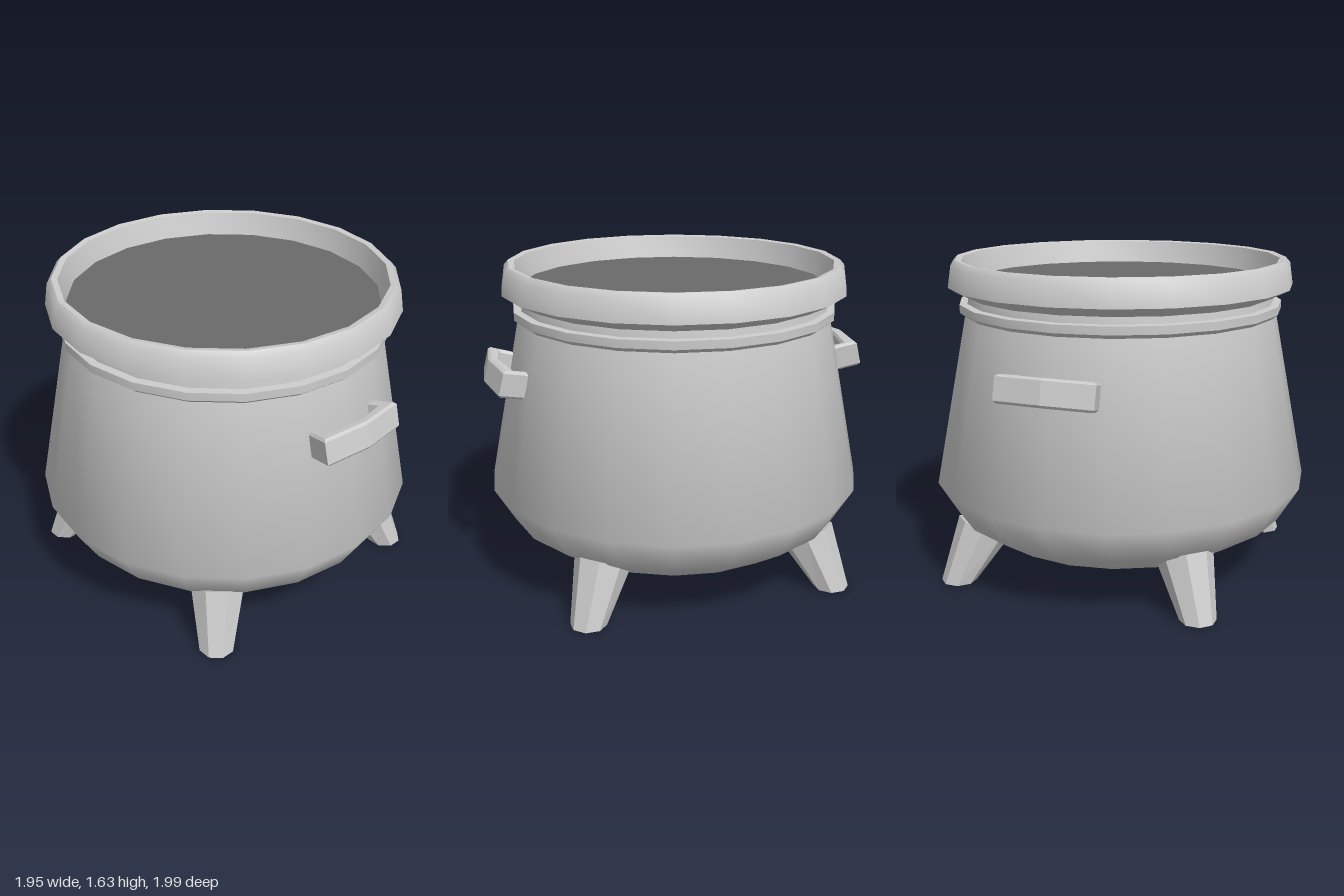
import * as THREE from 'three';
import { toCreasedNormals } from 'three/addons/utils/BufferGeometryUtils.js';

const SIDES = 20;
const grey = new THREE.MeshStandardMaterial({ color: 0xcccccc });
const faceted = new THREE.MeshStandardMaterial({ color: 0xcccccc, flatShading: true });
const dark = new THREE.MeshStandardMaterial({ color: 0x6a6a6a });

function addMesh(parent, name, geometry, material) {
  const mesh = new THREE.Mesh(geometry, material);
  mesh.name = name;
  parent.add(mesh);
  return mesh;
}

// Turned part from [radius, height] pairs, with sharp corners kept
function turned(points) {
  const profile = points.map(([r, y]) => new THREE.Vector2(r, y));
  return toCreasedNormals(new THREE.LatheGeometry(profile, SIDES), 0.8);
}

// Bent U-shaped grip, open towards the pot and tilted upwards
function handleGeometry() {
  const outline = [
    [-0.22, -0.09], [-0.18, -0.09], [-0.195, -0.02], [0, 0.02], [0.195, -0.02], [0.18, -0.09],
    [0.22, -0.09], [0.25, 0.04], [0, 0.075], [-0.25, 0.04],
  ];
  const shape = new THREE.Shape(outline.map(([x, y]) => new THREE.Vector2(x, y)));
  const geometry = new THREE.ExtrudeGeometry(shape, {
    depth: 0.111, bevelEnabled: true, bevelSegments: 1,
    bevelSize: 0.012, bevelThickness: 0.012, bevelOffset: -0.012,
  });
  geometry.translate(0, 0, -0.0555);
  geometry.rotateX(Math.PI / 2 - 0.24);
  geometry.translate(0, 1.112, 0.908);
  return geometry;
}

// Eight-sided leg: flat foot on the ground, wider tilted end inside the pot
function legGeometry() {
  const geometry = new THREE.CylinderGeometry(0.14, 0.09, 1, 8, 1);
  geometry.rotateY(Math.PI / 8);
  const pos = geometry.attributes.position;
  const tilt = 0.48;
  for (let i = 0; i < pos.count; i++) {
    const x = pos.getX(i), z = pos.getZ(i);
    if (pos.getY(i) > 0) pos.setXYZ(i, x, 0.27 + z * Math.sin(tilt), 0.77 + z * Math.cos(tilt));
    else pos.setXYZ(i, x, 0, 0.912 + z);
  }
  geometry.computeVertexNormals();
  return geometry;
}

export function createModel() {
  const model = new THREE.Group();
  model.name = 'cauldron';

  // Pot wall, collar, neck, flared rim and inner lip in one profile
  addMesh(model, 'pot', turned([
    [0, 0.1], [0.41, 0.1], [0.47, 0.115], [0.69, 0.195], [0.87, 0.31], [0.975, 0.485],
    [0.805, 1.35], [0.83, 1.37], [0.83, 1.41], [0.79, 1.412], [0.785, 1.445],
    [0.885, 1.495], [0.868, 1.605], [0.845, 1.63], [0.815, 1.625], [0.78, 1.5],
  ]), grey);

  // Contents filling the pot to just below the rim
  const contents = new THREE.CircleGeometry(0.782, SIDES);
  contents.rotateX(-Math.PI / 2);
  addMesh(model, 'contents', contents, dark).position.y = 1.51;

  // Front and back handles
  const handle = handleGeometry();
  ['frontHandle', 'backHandle'].forEach((name, i) => {
    addMesh(model, name, handle, faceted).rotation.y = i * Math.PI;
  });

  // Four legs on the diagonals
  const leg = legGeometry();
  ['frontLeftLeg', 'backLeftLeg', 'backRightLeg', 'frontRightLeg'].forEach((name, i) => {
    addMesh(model, name, leg, faceted).rotation.y = Math.PI / 4 + i * Math.PI / 2;
  });

  return model;
}
